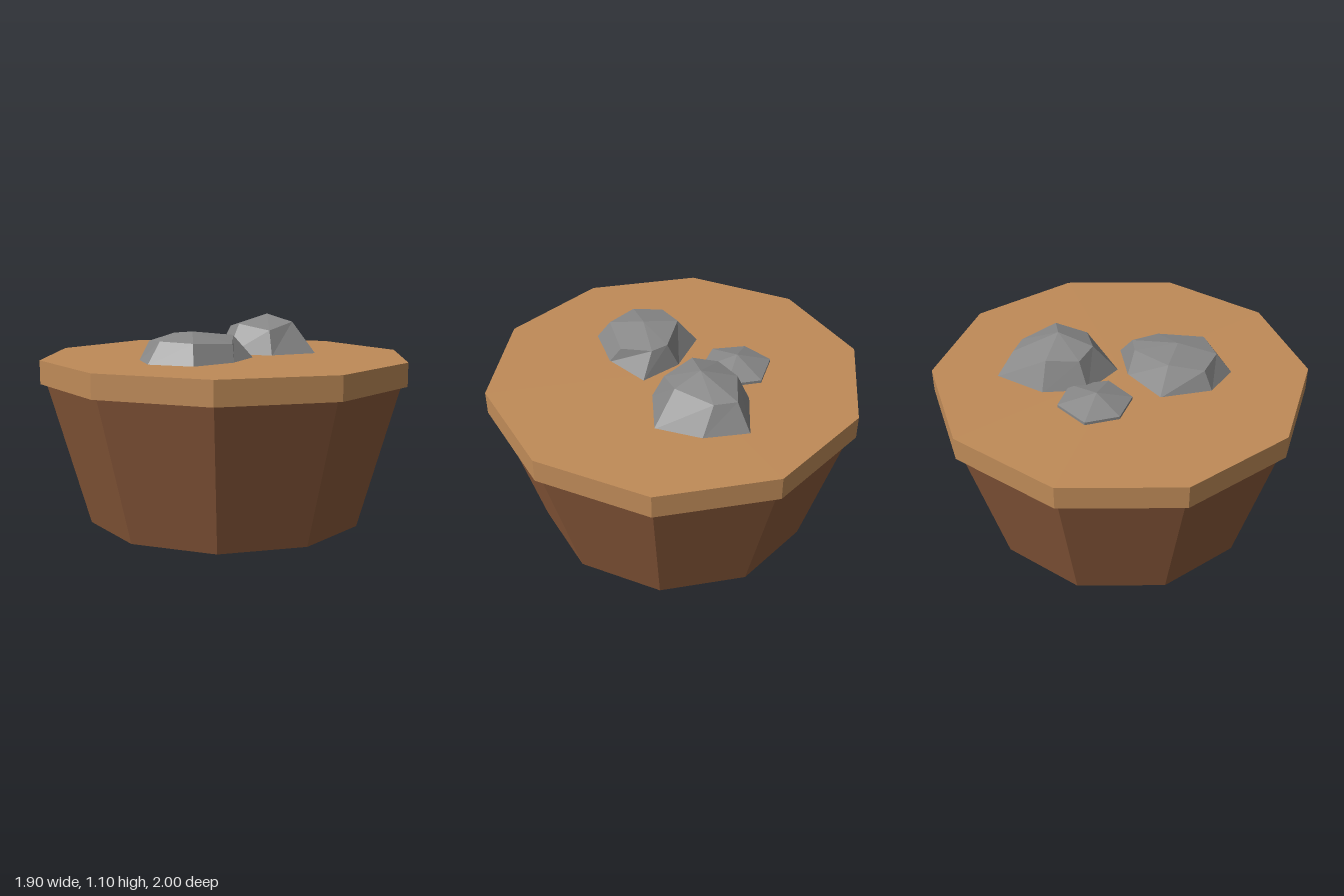
import * as THREE from 'three';

const mat = (name, color) => {
  const m = new THREE.MeshStandardMaterial({ color });
  m.name = name;
  return m;
};

// Faceted dome: a peak, a shoulder ring [x, y, z] and a ground ring [x, z]
function rockGeometry(peak, shoulder, ground, groundY) {
  const n = shoulder.length;
  const base = ground.map(([x, z]) => [x, groundY, z]);
  const foot = [peak[0], groundY, peak[2]];
  const pos = [];
  const tri = (a, b, c) => pos.push(...a, ...b, ...c);
  for (let i = 0; i < n; i++) {
    const j = (i + 1) % n;
    tri(peak, shoulder[j], shoulder[i]);
    tri(shoulder[i], shoulder[j], base[j]);
    tri(shoulder[i], base[j], base[i]);
    tri(foot, base[i], base[j]);
  }
  const g = new THREE.BufferGeometry();
  g.setAttribute('position', new THREE.Float32BufferAttribute(pos, 3));
  g.computeVertexNormals();
  return g;
}

export function createModel() {
  const group = new THREE.Group();
  const darkWood = mat('dark wood', 0x8b5a3b);
  const lightWood = mat('light wood', 0xbf8b58);
  const stone = mat('stone', 0x888888);
  for (const m of [darkWood, lightWood, stone]) m.flatShading = true;

  const add = (name, geometry, material, y = 0) => {
    const mesh = new THREE.Mesh(geometry, material);
    mesh.name = name;
    mesh.position.y = y;
    group.add(mesh);
  };

  // Ten-sided tapered tub and its lid-like rim
  add('tubBody', new THREE.CylinderGeometry(0.968, 0.75, 0.77, 10), darkWood, 0.385);
  add('rim', new THREE.CylinderGeometry(1, 1, 0.125, 10), lightWood, 0.8275);

  // Rocks, rings run clockwise seen from above
  add('leftRock', rockGeometry([0.32, 1.1, -0.06],
    [[0.32, 1.04, -0.25], [0.52, 1.03, -0.2], [0.52, 1.03, -0.08], [0.39, 1.06, 0.085],
      [0.22, 1.02, 0.105], [0.13, 1.05, -0.06], [0.16, 1.03, -0.19]],
    [[0.32, -0.32], [0.6, -0.25], [0.59, -0.01], [0.465, 0.205],
      [0.195, 0.165], [0.01, 0], [0.1, -0.23]], 0.885), stone);

  add('rightRock', rockGeometry([-0.28, 1.04, 0.12],
    [[-0.28, 1.02, -0.07], [-0.07, 1.01, 0.03], [-0.03, 1.01, 0.12], [-0.13, 0.98, 0.27],
      [-0.38, 0.995, 0.29], [-0.485, 1.0, 0.14], [-0.46, 0.99, -0.02]],
    [[-0.27, -0.18], [-0.05, -0.03], [0.06, 0.185], [-0.16, 0.33],
      [-0.42, 0.36], [-0.57, 0.16], [-0.51, -0.04]], 0.885), stone);

  const small = [[0.02, -0.515], [0.2, -0.415], [0.2, -0.23], [0.02, -0.135], [-0.14, -0.235], [-0.13, -0.415]];
  add('backRock', rockGeometry([0.02, 0.96, -0.33],
    small.map(([x, z]) => [x, 0.905, z]), small, 0.88), stone);

  return group;
}
